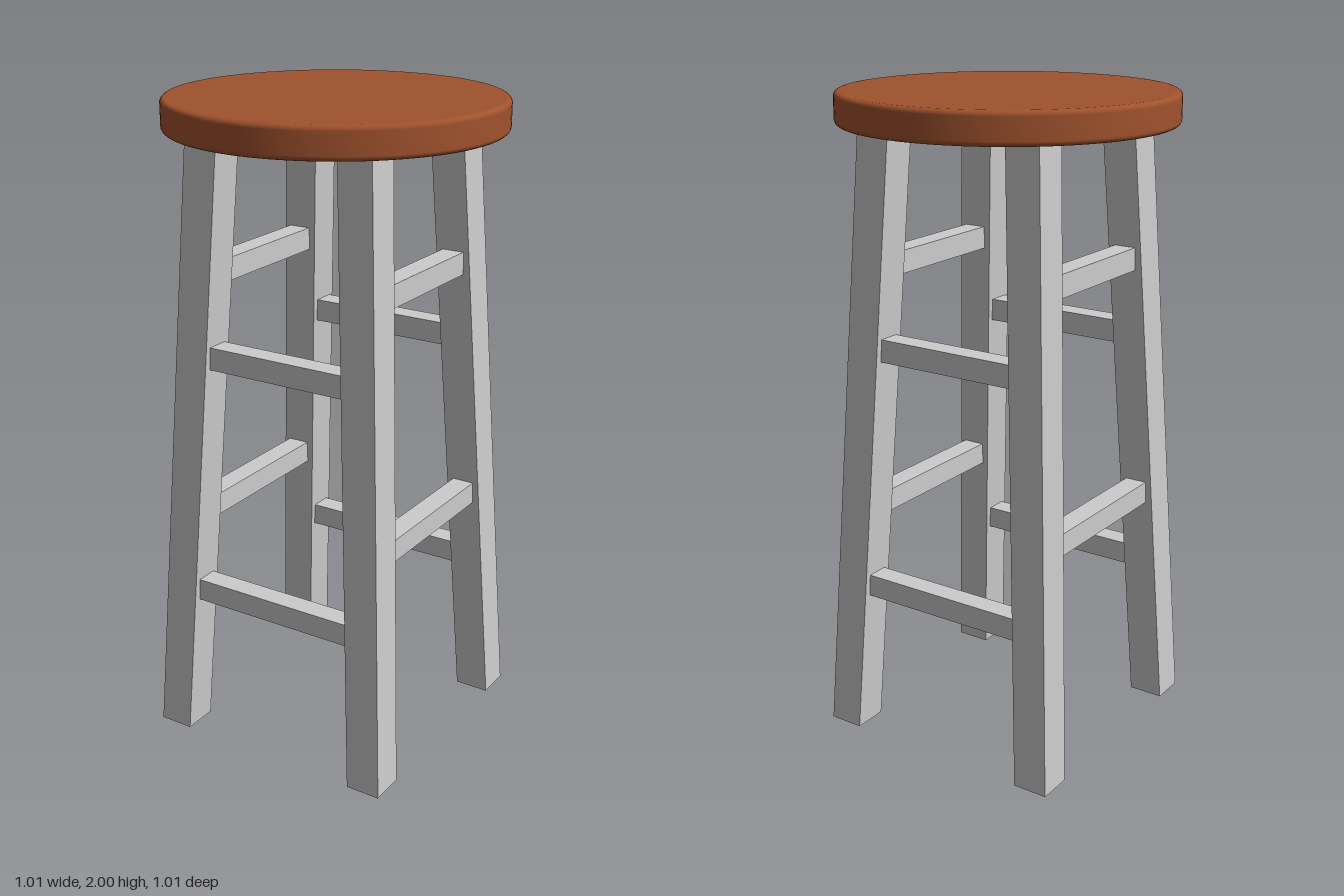
import * as THREE from 'three';

const SEAT_BOTTOM = 1.905;
const LEG = 0.11;    // leg thickness
const RUNG = 0.07;   // rung thickness
const FOOT = 0.355;  // leg centre at the floor
const SPLAY = 0.1 / SEAT_BOTTOM; // inward shift per unit of height
const legCentre = (y) => FOOT - SPLAY * y;

// Round seat with softly rounded rims
function seatGeometry(radius, bottom, top, r) {
  const points = [new THREE.Vector2(0, bottom), new THREE.Vector2(radius - r - 0.005, bottom)];
  const corner = (cy, start) => {
    for (let i = 0; i <= 5; i++) {
      const a = start + (i / 5) * Math.PI / 2;
      points.push(new THREE.Vector2(radius - r + r * Math.cos(a), cy + r * Math.sin(a)));
    }
  };
  corner(bottom + r, -Math.PI / 2);
  corner(top - r, 0);
  points.push(new THREE.Vector2(radius - r - 0.005, top), new THREE.Vector2(0, top));
  return new THREE.LatheGeometry(points, 96);
}

// Square post sheared inward as it rises, with level ends
function legGeometry(sx, sz) {
  const geometry = new THREE.BoxGeometry(LEG, SEAT_BOTTOM, LEG);
  geometry.translate(0, SEAT_BOTTOM / 2, 0);
  const p = geometry.attributes.position;
  for (let i = 0; i < p.count; i++) {
    const c = legCentre(p.getY(i));
    p.setX(i, p.getX(i) + sx * c);
    p.setZ(i, p.getZ(i) + sz * c);
  }
  geometry.computeVertexNormals();
  return geometry;
}

export function createModel() {
  const seatWood = new THREE.MeshStandardMaterial({ color: 0xa0522d });
  seatWood.name = 'seat brown';
  const legPaint = new THREE.MeshStandardMaterial({ color: 0xcccccc });
  legPaint.name = 'leg grey';

  const model = new THREE.Group();
  model.name = 'stool';
  const add = (name, geometry, material) => {
    const mesh = new THREE.Mesh(geometry, material);
    mesh.name = name;
    model.add(mesh);
    return mesh;
  };

  add('seat', seatGeometry(0.503, SEAT_BOTTOM, 2, 0.015), seatWood);

  // Four splayed legs
  for (const sx of [-1, 1]) {
    for (const sz of [-1, 1]) {
      add((sz > 0 ? 'front' : 'back') + (sx > 0 ? 'Left' : 'Right') + 'Leg', legGeometry(sx, sz), legPaint);
    }
  }

  // Two rungs per side, the side pairs set higher than the front and back pairs
  for (const s of [-1, 1]) {
    for (const y of [0.49, 1.25]) {
      const c = legCentre(y);
      add(s > 0 ? 'frontRung' : 'backRung', new THREE.BoxGeometry(2 * c, RUNG, RUNG), legPaint)
        .position.set(0, y, s * c);
    }
    for (const y of [0.735, 1.495]) {
      const c = legCentre(y);
      add(s > 0 ? 'leftRung' : 'rightRung', new THREE.BoxGeometry(RUNG, RUNG, 2 * c), legPaint)
        .position.set(s * c, y, 0);
    }
  }
  return model;
}
